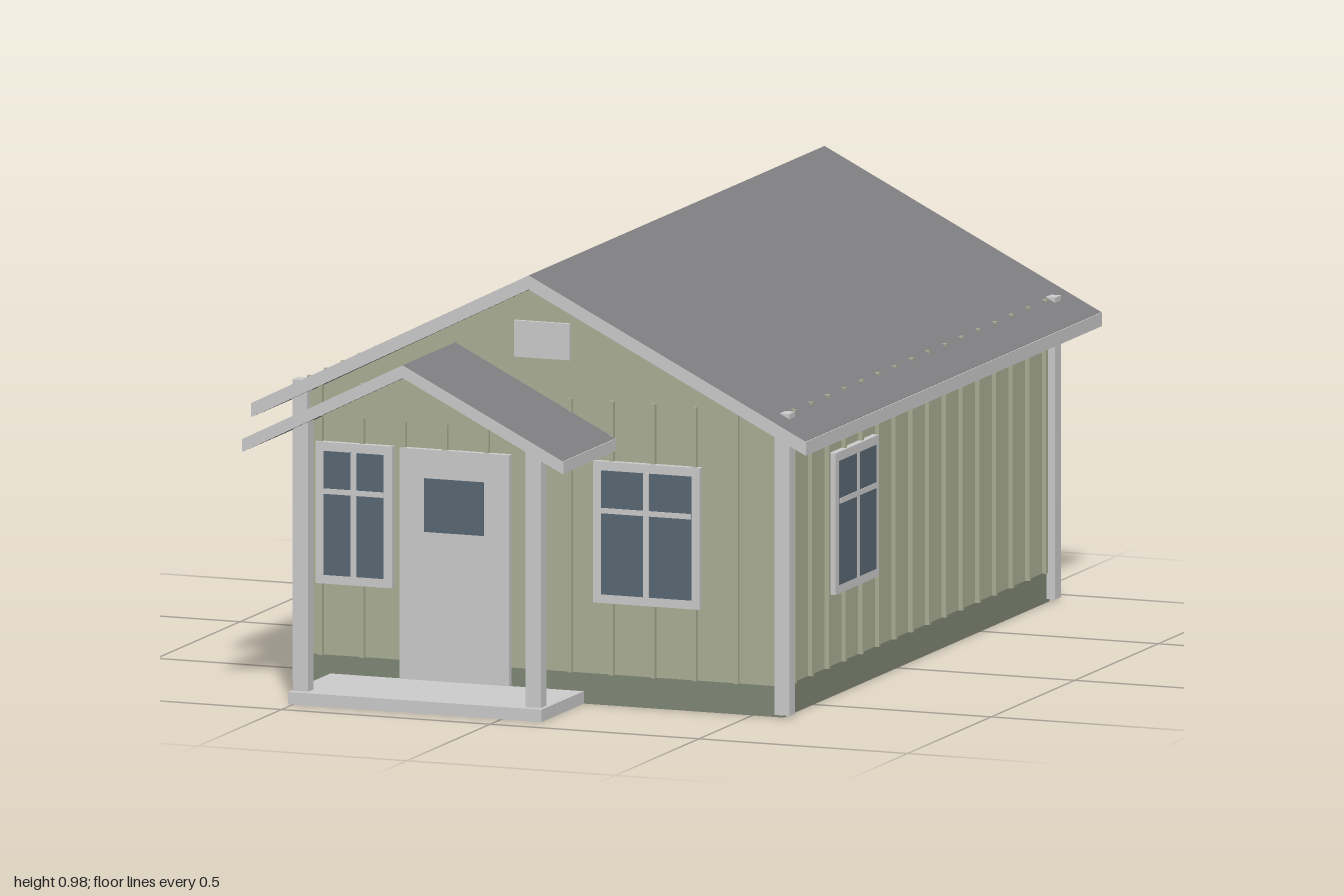
import * as THREE from 'three';

const mat = (name, color, side = THREE.FrontSide) => {
  const m = new THREE.MeshStandardMaterial({ color, side });
  m.name = name;
  return m;
};

export function createModel() {
  const siding = mat('sage siding', 0xabb095, THREE.DoubleSide);
  const base = mat('dark sage base', 0x808775, THREE.DoubleSide);
  const trim = mat('light grey trim', 0xcccccc);
  const glass = mat('blue grey glass', 0x596873);
  const roofing = mat('grey roofing', 0x7f7f81);

  const house = new THREE.Group();
  house.name = 'house';

  const add = (parent, name, geo, material) => {
    const m = new THREE.Mesh(geo, material);
    m.name = name;
    parent.add(m);
    return m;
  };
  // Box given by its extents on each axis
  const box = (parent, name, material, x0, x1, y0, y1, z0, z1) => {
    const m = add(parent, name, new THREE.BoxGeometry(x1 - x0, y1 - y0, z1 - z0), material);
    m.position.set((x0 + x1) / 2, (y0 + y1) / 2, (z0 + z1) / 2);
    return m;
  };
  const outline = (pts) => new THREE.Shape(pts.map(([x, y]) => new THREE.Vector2(x, y)));

  // Window on a wall whose outside is local +z
  const windowUnit = (wall, x0, x1, y0, y1) => {
    const g = new THREE.Group();
    g.name = 'window';
    wall.add(g);
    const b = 0.02, cx = (x0 + x1) / 2, bar = y0 + (y1 - y0) * 0.655;
    box(g, 'frameLeft', trim, x0, x0 + b, y0, y1, 0.0005, 0.016);
    box(g, 'frameRight', trim, x1 - b, x1, y0, y1, 0.0005, 0.016);
    box(g, 'frameTop', trim, x0 + b, x1 - b, y1 - b, y1, 0.0005, 0.016);
    box(g, 'frameBottom', trim, x0 + b, x1 - b, y0, y0 + b, 0.0005, 0.016);
    box(g, 'pane', glass, x0 + b, x1 - b, y0 + b, y1 - b, -0.004, 0.018);
    box(g, 'mullion', trim, cx - 0.007, cx + 0.007, y0 + b, y1 - b, 0.015, 0.02);
    box(g, 'glazingBar', trim, x0 + b, x1 - b, bar - 0.006, bar + 0.006, 0.015, 0.02);
  };

  // Wall sheet with base strip and battens, in its own frame (outside = +z)
  const makeWall = (name, half, peak, battens, x, z, turn) => {
    const g = new THREE.Group();
    g.name = name;
    g.position.set(x, 0, z);
    g.rotation.y = turn;
    house.add(g);
    const top = [[half, 0.655]];
    if (peak) top.push([0, peak]);
    top.push([-half, 0.655]);
    add(g, 'siding', new THREE.ShapeGeometry(outline([[-half, 0.07], [half, 0.07], ...top])), siding);
    add(g, 'baseStrip', new THREE.ShapeGeometry(
      outline([[-half, 0], [half, 0], [half, 0.07], [-half, 0.07]])), base);
    for (const p of battens) box(g, 'batten', siding, p - 0.005, p + 0.005, 0.07, 0.689, 0, 0.01);
    return g;
  };

  const W = 0.575, D = 0.795, MID = -0.115;
  const gableBattens = Array.from({ length: 11 }, (_, i) => -0.532 + i * 0.0996);
  const sideBattens = Array.from({ length: 16 }, (_, i) => 0.745 - i * 0.1);
  const front = makeWall('frontWall', W, 0.945, gableBattens, 0, MID + D, 0);
  const back = makeWall('backWall', W, 0.945, gableBattens.map((p) => -p), 0, MID - D, Math.PI);
  const left = makeWall('leftWall', D, 0, sideBattens.map((p) => -p), W, MID, Math.PI / 2);
  const right = makeWall('rightWall', D, 0, sideBattens, -W, MID, -Math.PI / 2);

  // Windows
  windowUnit(front, 0.125, 0.38, 0.233, 0.553);
  windowUnit(front, -0.54, -0.357, 0.233, 0.553);
  windowUnit(left, -0.525, -0.265, 0.233, 0.553);
  windowUnit(right, 0.265, 0.525, 0.233, 0.553);
  windowUnit(right, -0.48, -0.26, 0.275, 0.553);
  windowUnit(back, -0.165, -0.012, 0.32, 0.553);

  // Door and attic vent
  box(front, 'door', trim, -0.339, -0.077, 0.03, 0.552, -0.004, 0.015);
  box(front, 'doorPane', glass, -0.28, -0.137, 0.366, 0.487, 0.014, 0.018);
  box(front, 'atticVent', trim, -0.067, 0.066, 0.775, 0.857, 0.0005, 0.01);

  // Corner boards
  for (const x of [-0.578, 0.578])
    for (const z of [MID - D, MID + D])
      box(house, 'cornerBoard', trim, x - 0.0175, x + 0.0175, 0.008, 0.69, z - 0.0175, z + 0.0175);

  // Gable roof with light end and eave boards
  const makeRoof = (name, cx, half, ridge, eave, thick, z0, z1) => {
    const g = new THREE.Group();
    g.name = name;
    g.position.x = cx;
    house.add(g);
    const e = half - 0.003;
    const shape = outline([[-e, eave - thick], [0, ridge - thick], [e, eave - thick],
      [e, eave], [0, ridge], [-e, eave]]);
    const slab = add(g, 'roofSlab', new THREE.ExtrudeGeometry(shape,
      { depth: z1 - z0, bevelEnabled: false }), [trim, roofing]);
    slab.position.z = z0;
    for (const s of [-1, 1])
      box(g, 'eaveBoard', trim, s * (half - 0.0015) - 0.0015, s * (half - 0.0015) + 0.0015,
        eave - thick, eave - 0.001, z0, z1);
  };
  makeRoof('mainRoof', 0, 0.665, 0.976, 0.645, 0.032, -1, 0.77);
  makeRoof('porchRoof', -0.21, 0.385, 0.797, 0.606, 0.029, 0.685, 1);

  // Porch deck, posts and gable infill
  box(house, 'porchDeck', trim, -0.511, 0.096, 0, 0.028, 0.68, 0.933);
  for (const x of [-0.489, 0.069])
    box(house, 'porchPost', trim, x - 0.018, x + 0.018, 0.028, 0.64, 0.88, 0.915);
  const infill = add(house, 'porchGable', new THREE.ShapeGeometry(
    outline([[-0.455, 0.65], [0.035, 0.65], [-0.21, 0.77]])), siding);
  infill.position.z = 0.9;

  return house;
}
